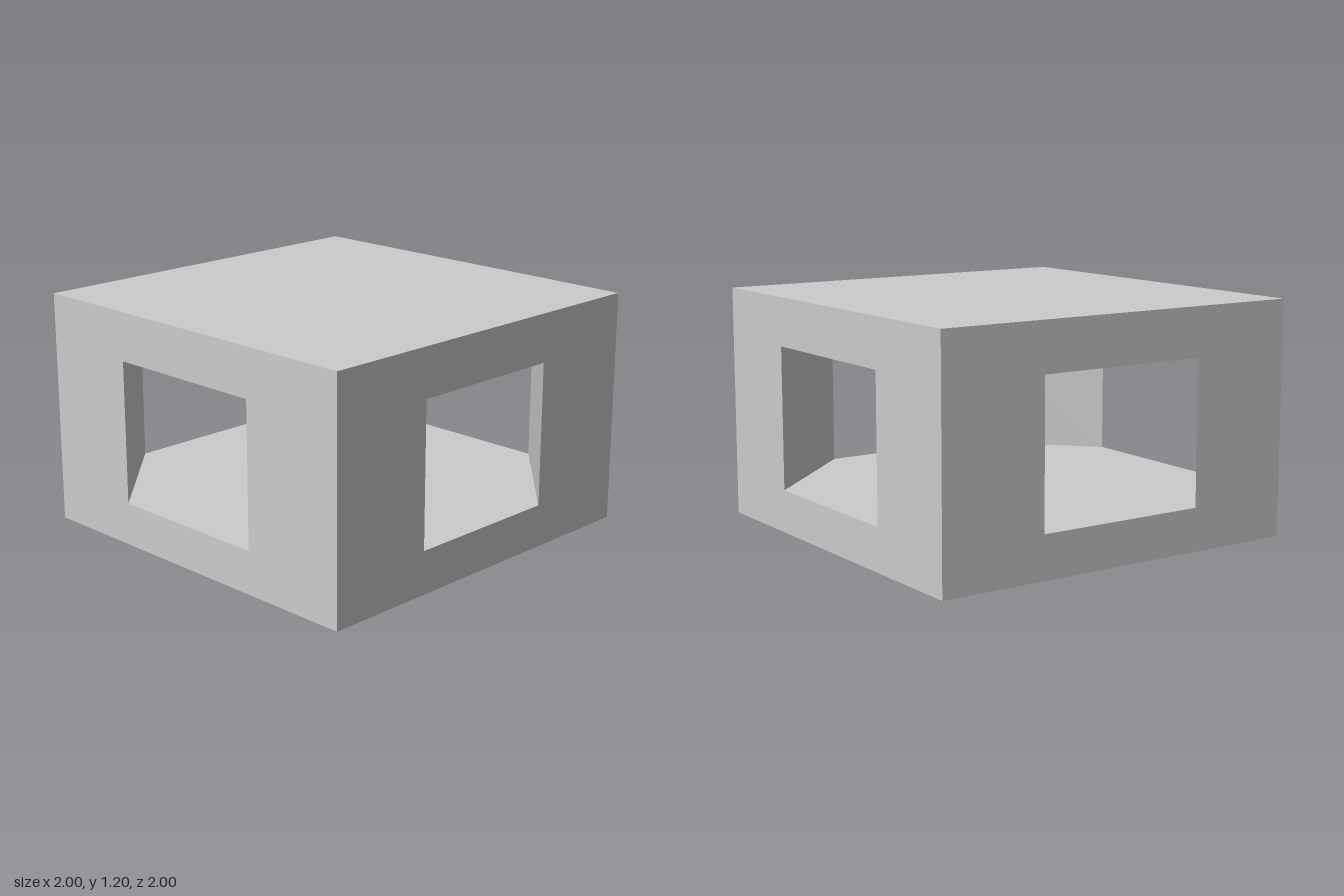
import * as THREE from 'three';

const FLOOR = 0.22, CEILING = 0.953, TOP = 1.2;

export function createModel() {
  const group = new THREE.Group();
  const material = new THREE.MeshStandardMaterial({ color: 0xcccccc, flatShading: true });

  const add = (name, geometry) => {
    const mesh = new THREE.Mesh(geometry, material);
    mesh.name = name;
    group.add(mesh);
  };

  // Square slab between two heights
  const slab = (name, y0, y1) =>
    add(name, new THREE.BoxGeometry(2, y1 - y0, 2).translate(0, (y0 + y1) / 2, 0));

  // Triangular corner pillar: its diagonal inner face joins the edges of two openings
  const pillar = (name, sx, sz, edgeX, edgeZ) => {
    const shape = new THREE.Shape([
      new THREE.Vector2(sx, -sz),
      new THREE.Vector2(edgeX, -sz),
      new THREE.Vector2(sx, -edgeZ),
    ]);
    const geometry = new THREE.ExtrudeGeometry(shape, { depth: CEILING - FLOOR, bevelEnabled: false });
    add(name, geometry.rotateX(-Math.PI / 2).translate(0, FLOOR, 0));
  };

  slab('base', 0, FLOOR);
  slab('roof', CEILING, TOP);

  // The openings differ slightly from side to side
  pillar('frontLeftPillar', 1, 1, 0.425, 0.43);
  pillar('frontRightPillar', -1, 1, -0.46, 0.455);
  pillar('backLeftPillar', 1, -1, 0.468, -0.415);
  pillar('backRightPillar', -1, -1, -0.452, -0.448);

  return group;
}
